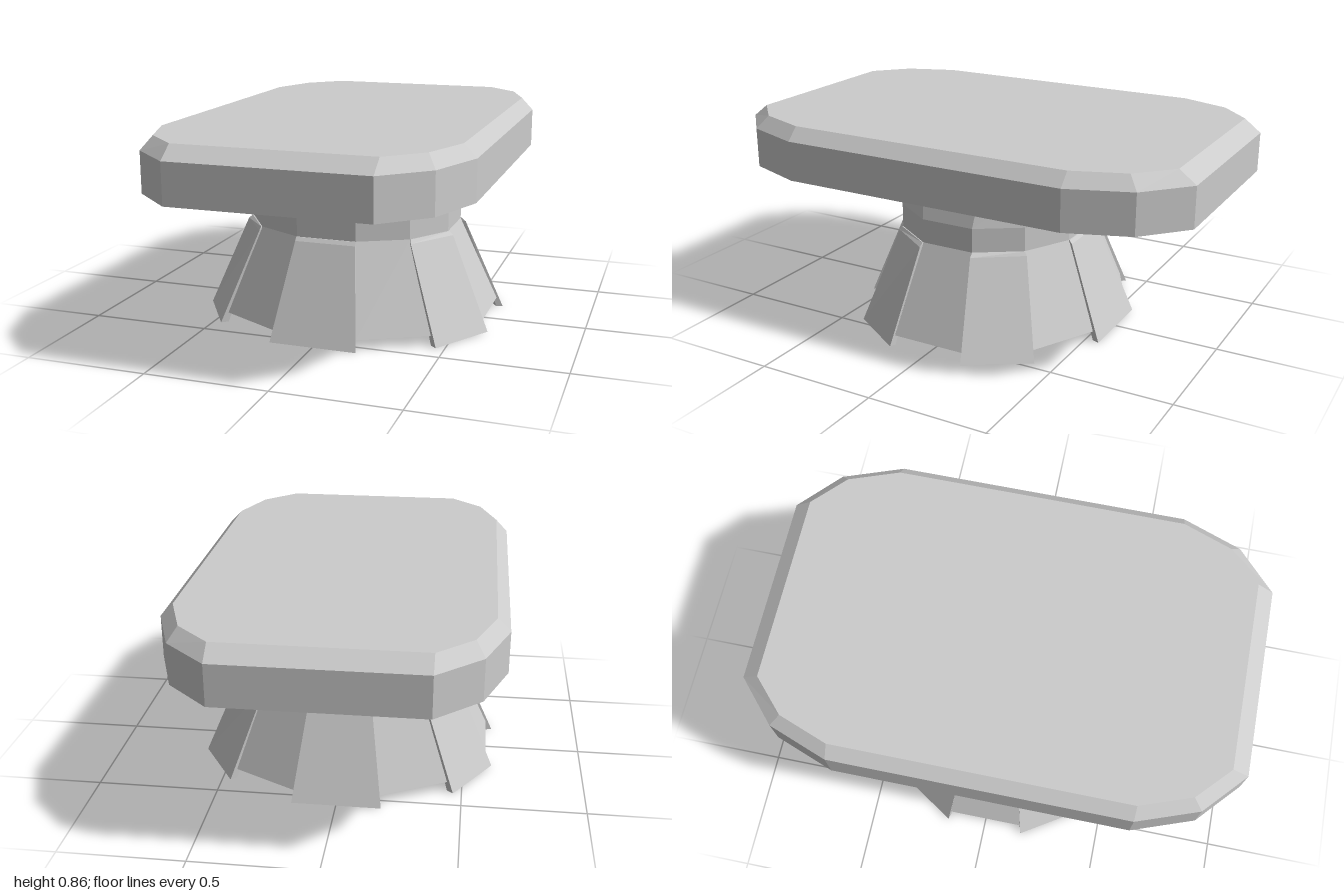
import * as THREE from 'three';

// Twelve-cornered ring from one quadrant of corners, starting at the front, going towards +x
function ring(y, X, Z, s = 1) {
  const q = [0, 1, 2].map(i => [X[i] * s, Z[i] * s]);
  const r = [...q].reverse();
  return [
    ...q,
    ...r.map(([x, z]) => [x, -z]),
    ...q.map(([x, z]) => [-x, -z]),
    ...r.map(([x, z]) => [-x, z]),
  ].map(([x, z]) => new THREE.Vector3(x, y, z));
}

// Skin a stack of rings and close both ends with fans
function loft(name, rings) {
  const pos = [];
  const tri = (...p) => p.forEach(v => pos.push(v.x, v.y, v.z));
  const n = rings[0].length;
  const centre = r => r.reduce((c, p) => c.add(p), new THREE.Vector3()).divideScalar(n);
  const first = rings[0], last = rings[rings.length - 1];
  const c0 = centre(first), c1 = centre(last);
  for (let i = 0; i < n; i++) {
    const j = (i + 1) % n;
    tri(c0, first[j], first[i]);
    for (let k = 0; k + 1 < rings.length; k++) {
      const a = rings[k], b = rings[k + 1];
      tri(a[i], a[j], b[j]);
      tri(a[i], b[j], b[i]);
    }
    tri(c1, last[i], last[j]);
  }
  const geo = new THREE.BufferGeometry();
  geo.setAttribute('position', new THREE.Float32BufferAttribute(pos, 3));
  geo.computeVertexNormals();
  const mesh = new THREE.Mesh(geo, new THREE.MeshStandardMaterial({ color: 0xcccccc, flatShading: true }));
  mesh.name = name;
  return mesh;
}

export function createModel() {
  const group = new THREE.Group();
  group.name = 'pedestalTable';

  // Corner outlines of the pedestal
  const neckX = [0.125, 0.32, 0.435], neckZ = [0.39, 0.29, 0.115];
  const footX = [0.17, 0.44, 0.595], footZ = [0.53, 0.39, 0.158];
  const topX = [0.135, 0.285, 0.395], topZ = [0.41, 0.29, 0.13];

  // Hollow flared foot, straight neck and tapered collar
  group.add(loft('pedestal', [
    ring(0.36, neckX, neckZ, 0.88),
    ring(0.04, footX, footZ, 0.88),
    ring(0.04, footX, footZ),
    ring(0.4, neckX, neckZ),
    ring(0.5, neckX, neckZ),
    ring(0.65, topX, topZ),
  ]));

  // Raised slabs on every second side of the foot
  const inner = [ring(0, footX, footZ, 1.0), ring(0.385, neckX, neckZ, 0.99), ring(0.4, neckX, neckZ, 0.99)];
  const outer = [
    ring(0, [0.182, 0.465, 0.622], [0.56, 0.412, 0.166]),
    ring(0.385, [0.127, 0.328, 0.457], [0.405, 0.303, 0.118]),
    ring(0.4, neckX, neckZ, 1.01),
  ];
  const slabs = new THREE.Group();
  slabs.name = 'footSlabs';
  for (let i = 1; i < 12; i += 2) {
    const j = (i + 1) % 12;
    slabs.add(loft('footSlab', outer.map((o, k) => [o[i], o[j], inner[k][j], inner[k][i]])));
  }
  group.add(slabs);

  // Table top with a bevelled rim and a slightly bulging underside
  const rimX = [0.39, 0.56, 0.65], rimZ = [1, 0.845, 0.6];
  group.add(loft('tableTop', [
    ring(0.64, topX, topZ, 0.9),
    ring(0.622, [0.3, 0.45, 0.5], [0.55, 0.5, 0.35]),
    ring(0.647, rimX, rimZ),
    ring(0.81, rimX, rimZ),
    ring(0.862, [0.39, 0.525, 0.6], [0.932, 0.805, 0.6]),
  ]));

  return group;
}
